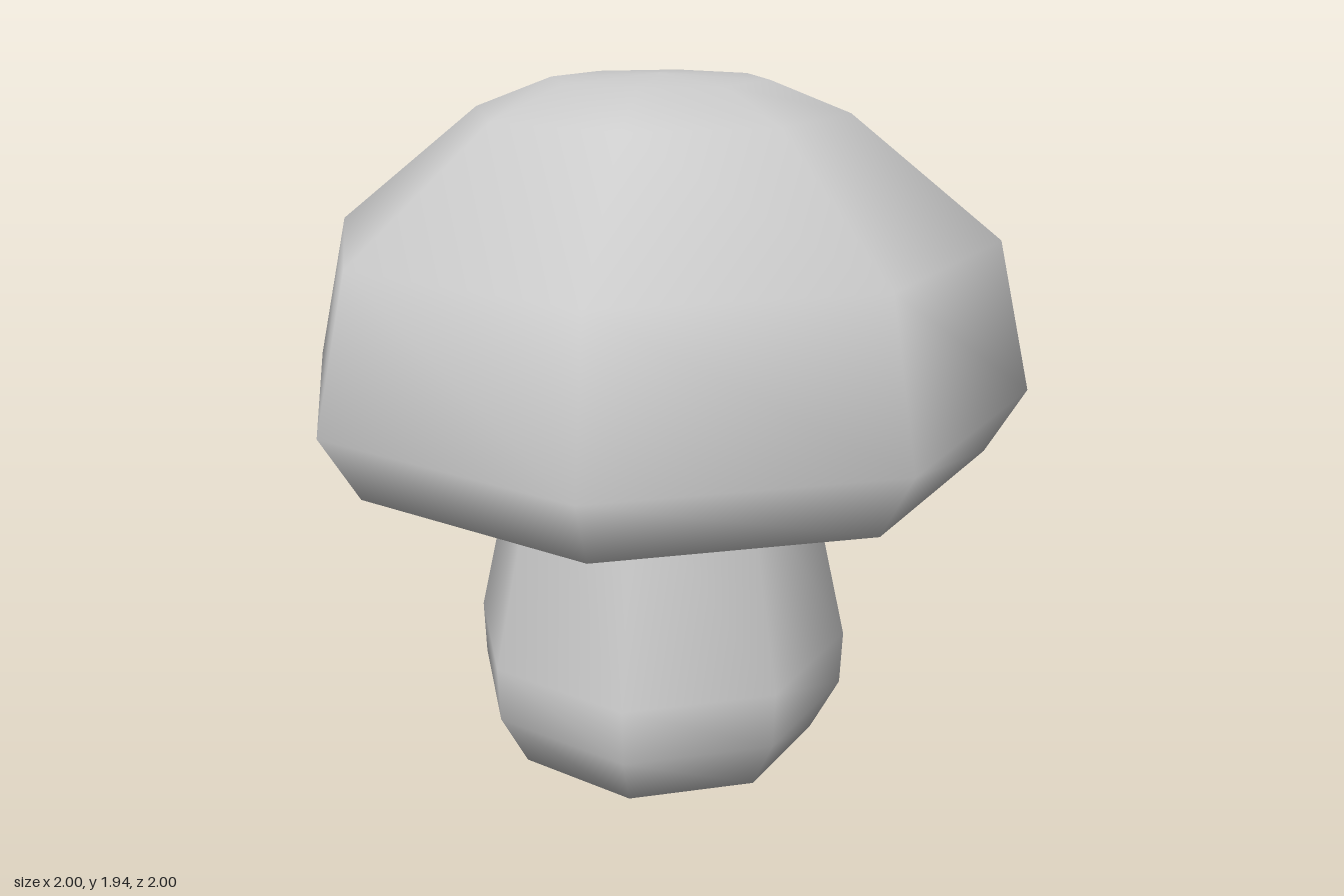
import * as THREE from 'three';

// Eight-sided turned solid with smooth normals; profile runs from bottom axis to top axis
function turned(name, profile) {
  const points = profile.map(([r, y]) => new THREE.Vector2(r, y));
  const mesh = new THREE.Mesh(
    new THREE.LatheGeometry(points, 8),
    new THREE.MeshStandardMaterial({ color: 0xcccccc })
  );
  mesh.name = name;
  return mesh;
}

export function createModel() {
  const group = new THREE.Group();
  group.name = 'mushroom';

  // Bulging stem with a shallow pointed base, its top tucked into the cap
  group.add(turned('stem', [
    [0, 0], [0.46, 0.04], [0.54, 0.2], [0.545, 0.36], [0.41, 0.95], [0.38, 1.08], [0, 1.12],
  ]));

  // Domed cap: shallow hollow underside, rim, then the outer dome
  group.add(turned('cap', [
    [0, 1.07], [0.38, 1.06], [0.84, 1.0], [0.9, 0.95],
    [1, 1.13], [0.9, 1.53], [0.5, 1.845], [0.29, 1.925], [0, 1.94],
  ]));

  return group;
}
